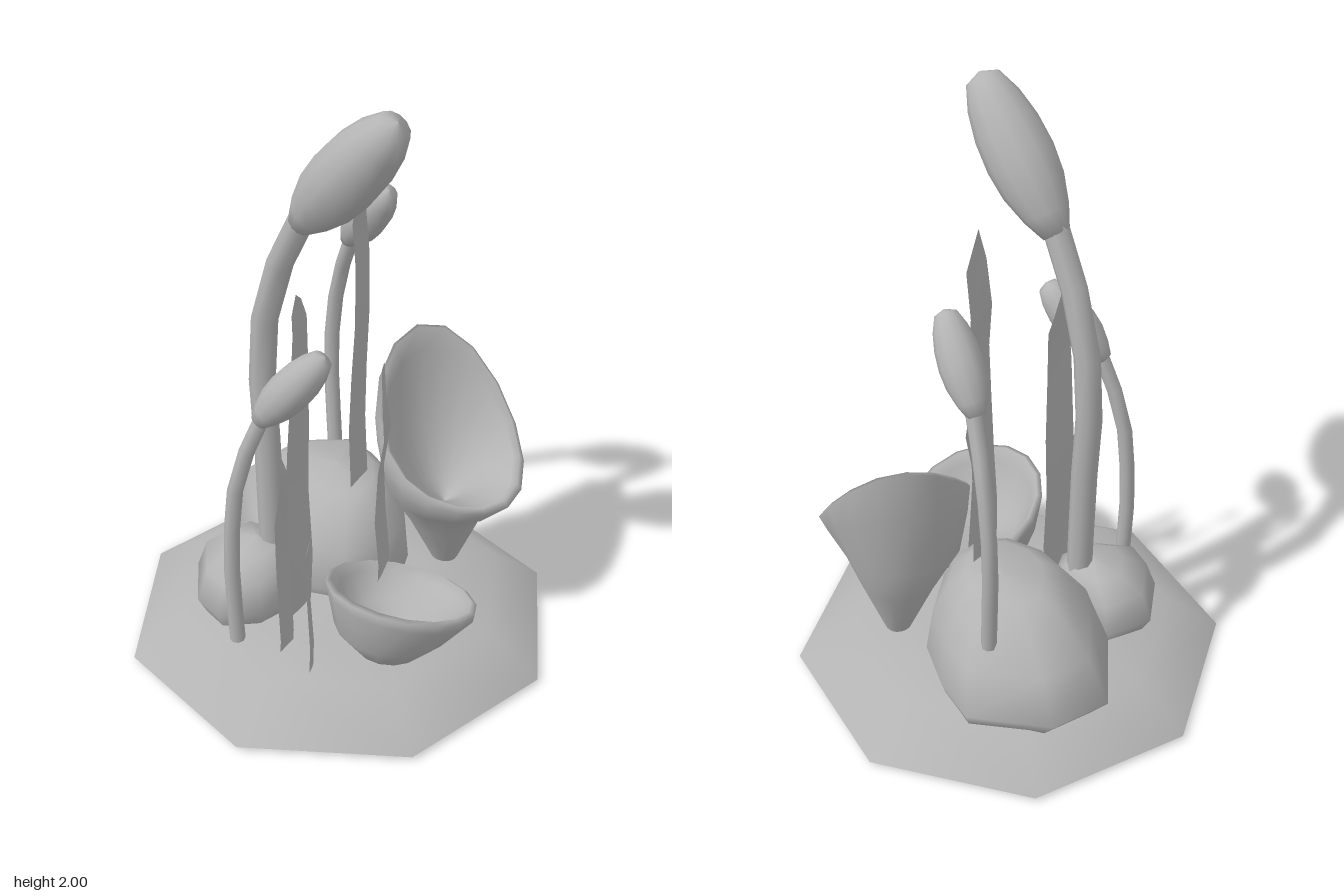
import * as THREE from 'three';

const V = (x, y, z) => new THREE.Vector3(x, y, z);
const grey = new THREE.MeshStandardMaterial({ color: 0xb4b4b4, side: THREE.DoubleSide });
grey.name = 'grey';

function add(parent, name, geometry) {
  const mesh = new THREE.Mesh(geometry, grey);
  mesh.name = name;
  parent.add(mesh);
  return mesh;
}

// Skin over closed rings that all have the same number of points
function loft(rings) {
  const n = rings[0].length, index = [];
  for (let i = 0; i < rings.length - 1; i++) {
    for (let j = 0; j < n; j++) {
      const k = (j + 1) % n;
      const a = i * n + j, b = a + n, c = i * n + k, d = c + n;
      index.push(a, b, c, c, b, d);
    }
  }
  const g = new THREE.BufferGeometry().setFromPoints(rings.flat());
  g.setIndex(index);
  g.computeVertexNormals();
  return g;
}

// Horizontal ring sheared by the slopes sx and sz, with a bend along z and a warp across the diagonal
function ring(cx, cy, cz, r, sx = 0, sz = 0, bend = 0, warp = 0, n = 16) {
  return Array.from({ length: n }, (_, j) => {
    const a = j / n * Math.PI * 2, dx = r * Math.cos(a), dz = r * Math.sin(a);
    return V(cx + dx, cy + sx * dx + sz * dz + bend * dz * dz + warp * dx * dz, cz + dz);
  });
}

// Boulder: a plan outline scaled at each level [y, scale, shiftX, shiftZ]
function rock(cx, cz, outline, levels) {
  return loft(levels.map(([y, s, ox, oz]) =>
    outline.map(([x, z]) => V(cx + ox + (x - cx) * s, y, cz + oz + (z - cz) * s))));
}

// Curved stem with a bulb running from one end to the other
function stalk(name, path, r, from, to, bulbR) {
  const group = new THREE.Group();
  group.name = name;
  const curve = new THREE.CatmullRomCurve3(path.map(p => V(...p)));
  add(group, 'stem', new THREE.TubeGeometry(curve, 6, r, 8));
  const a = V(...from), axis = V(...to).sub(a), len = axis.length();
  const profile = [[0, 0], [0.4, 0], [0.68, 0.13], [0.92, 0.3], [1, 0.47], [0.95, 0.65], [0.78, 0.82], [0.5, 0.96], [0, 1]]
    .map(([x, y]) => new THREE.Vector2(x * bulbR, y * len));
  const bulb = add(group, 'bulb', new THREE.LatheGeometry(profile, 12));
  bulb.position.copy(a);
  bulb.quaternion.setFromUnitVectors(V(0, 1, 0), axis.normalize());
  return group;
}

// Flat leaf: rows of [y, left x, right x], turned by an angle that grows with height
function blade(z, rows, turn, twist) {
  const points = [], index = [];
  rows.forEach(([y, l, r], i) => {
    const a = turn + twist * i / (rows.length - 1), w = (r - l) / 2, m = (l + r) / 2;
    const dz = w * Math.tan(a), sway = 0.012 * Math.sin(i * 1.9);
    points.push(V(m - w, y, z + dz + sway), V(m + w, y, z - dz + sway));
    if (i) {
      const k = 2 * i;
      index.push(k - 2, k - 1, k, k - 1, k + 1, k);
    }
  });
  const g = new THREE.BufferGeometry().setFromPoints(points);
  g.setIndex(index);
  g.computeVertexNormals();
  return g;
}

export function createModel() {
  const model = new THREE.Group();
  model.name = 'reefPlants';

  // Eight-sided mound, open underneath
  const mound = [[0.713, 0.012], [0.54, 0.145], [0.3, 0.165], [0, 0.185]].map(p => new THREE.Vector2(...p));
  add(model, 'mound', new THREE.LatheGeometry(mound, 8, 0.255));

  // Boulders
  add(model, 'largeRock', rock(0.14, -0.2,
    [[0.44, -0.36], [0.42, -0.2], [0.36, -0.03], [0.2, 0.12], [0.03, 0.16], [-0.1, 0.08],
      [-0.18, -0.1], [-0.18, -0.27], [-0.13, -0.36], [0.05, -0.58], [0.25, -0.56]],
    [[0.06, 0, 0, 0], [0.07, 0.65, 0, 0.02], [0.12, 0.87, 0, 0.02], [0.21, 1, 0, 0], [0.34, 0.86, 0, 0.03],
      [0.44, 0.64, 0, 0.05], [0.49, 0.42, 0, 0.06], [0.5, 0, 0, 0.06]]));
  add(model, 'smallRock', rock(-0.27, -0.17,
    [[-0.1, -0.17], [-0.11, -0.07], [-0.2, 0], [-0.35, -0.03], [-0.45, -0.13], [-0.43, -0.24],
      [-0.3, -0.37], [-0.14, -0.34]],
    [[0.08, 0, 0, 0], [0.1, 0.7, 0, 0], [0.21, 1, 0, 0], [0.31, 0.85, 0.01, 0],
      [0.37, 0.5, 0.04, 0], [0.385, 0, 0.05, 0]]));

  // Tilted trumpet: outside upward, over the drooping rim, then down the inside
  add(model, 'trumpet', loft([
    ring(0.34, 0.08, 0.17, 0), ring(0.34, 0.16, 0.165, 0.045),
    ring(0.33, 0.35, 0.165, 0.125, 0.05, -0.05), ring(0.315, 0.48, 0.155, 0.185, 0.1, -0.2),
    ring(0.315, 0.6, 0.18, 0.228, 0.24, -0.6, 0.2, -0.6), ring(0.317, 0.68, 0.19, 0.245, 0.3, -0.85, 0.5, -1.4),
    ring(0.317, 0.695, 0.19, 0.23, 0.3, -0.87, 0.5, -1.4), ring(0.317, 0.665, 0.187, 0.21, 0.28, -0.8, 0.4, -1),
    ring(0.32, 0.55, 0.165, 0.15, 0.15, -0.35), ring(0.335, 0.44, 0.16, 0.07, 0.05, -0.1),
    ring(0.335, 0.38, 0.16, 0)]));

  // Shallow dish leaning to one side
  add(model, 'dish', loft([
    ring(-0.12, 0.09, 0.32, 0), ring(-0.12, 0.158, 0.32, 0.12),
    ring(-0.115, 0.235, 0.325, 0.19, -0.1, 0.03), ring(-0.09, 0.315, 0.335, 0.235, -0.36, 0.03),
    ring(-0.09, 0.345, 0.335, 0.24, -0.39, 0.03), ring(-0.09, 0.355, 0.335, 0.222, -0.39, 0.03),
    ring(-0.095, 0.32, 0.335, 0.2, -0.34, 0.03), ring(-0.11, 0.24, 0.33, 0.13, -0.12, 0.03),
    ring(-0.12, 0.205, 0.325, 0)]));

  // Bulb stalks
  model.add(stalk('tallStalk',
    [[-0.18, 0.3, -0.14], [-0.18, 0.7, -0.15], [-0.18, 1.1, -0.165], [-0.175, 1.36, -0.11], [-0.165, 1.62, 0.01]],
    0.042, [-0.165, 1.575, -0.01], [-0.127, 1.985, 0.32], 0.107));
  model.add(stalk('rightStalk',
    [[0.31, 0.4, -0.305], [0.325, 0.78, -0.335], [0.32, 1.05, -0.3], [0.295, 1.27, -0.215]],
    0.025, [0.295, 1.245, -0.235], [0.265, 1.5, -0.04], 0.067));
  model.add(stalk('leftStalk',
    [[-0.43, 0.12, -0.06], [-0.44, 0.5, -0.065], [-0.425, 0.8, -0.04], [-0.38, 1.04, 0.035]],
    0.025, [-0.39, 1.01, 0.02], [-0.28, 1.255, 0.188], 0.067));

  // Wavy leaves
  add(model, 'tallLeaf', blade(-0.045, [[0.1, 0.08, 0.18], [0.5, 0.07, 0.18], [0.7, 0.08, 0.19], [0.9, 0.09, 0.195],
    [1.1, 0.085, 0.185], [1.3, 0.1, 0.2], [1.45, 0.095, 0.195], [1.6, 0.1, 0.195], [1.72, 0.14, 0.141]], 0.2, 0.15));
  add(model, 'broadLeaf', blade(0, [[0.05, -0.26, -0.15], [0.36, -0.27, -0.14], [0.6, -0.275, -0.13], [0.83, -0.265, -0.12],
    [1.05, -0.27, -0.135], [1.24, -0.245, -0.125], [1.3, -0.235, -0.14], [1.36, -0.21, -0.209]], 0.1, 0.45));
  add(model, 'middleLeaf', blade(0.16, [[0.05, -0.02, 0.06], [0.33, -0.025, 0.055], [0.5, -0.03, 0.06], [0.68, -0.015, 0.045],
    [0.82, -0.02, 0.065], [0.95, -0.01, 0.05], [1.045, -0.015, 0.065], [1.06, -0.015, 0.01]], 0.2, 0.5));
  add(model, 'leftLeaf', blade(0.08, [[0, -0.395, -0.33], [0.2, -0.395, -0.325], [0.45, -0.39, -0.315], [0.65, -0.395, -0.325],
    [0.8, -0.385, -0.33], [0.89, -0.36, -0.359]], 0.1, 0.15));
  add(model, 'shortLeaf', blade(0.21, [[0.05, -0.4, -0.365], [0.25, -0.405, -0.365], [0.45, -0.4, -0.36], [0.6, -0.405, -0.37],
    [0.68, -0.385, -0.384]], 0.4, 0.3));

  return model;
}
